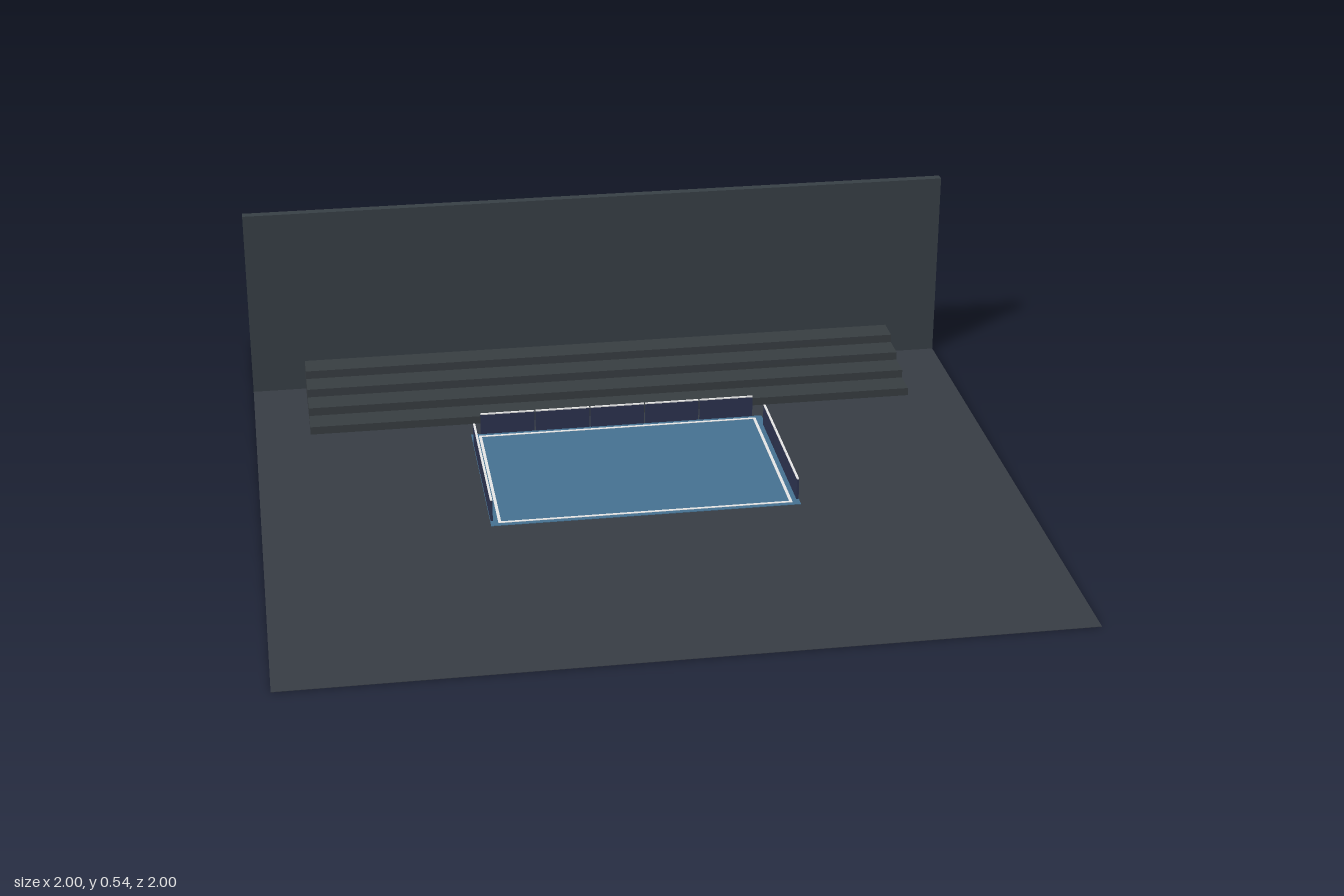
import * as THREE from 'three';

const mat = (name, color) => Object.assign(new THREE.MeshStandardMaterial({ color }), { name });

export function createModel() {
  const model = new THREE.Group();
  model.name = 'arena';
  const floorGrey = mat('floor grey', 0x383d45);
  const wallGrey = mat('wall grey', 0x384046);
  const standGrey = mat('stand grey', 0x383e42);
  const courtBlue = mat('court blue', 0x467292);
  const boardNavy = mat('board navy', 0x2c3350);
  const lineWhite = mat('line white', 0xf0f0f0);

  // Box given by its centre in x and z and its underside in y
  const box = (name, material, w, h, d, x, y, z, parent = model) => {
    const mesh = new THREE.Mesh(new THREE.BoxGeometry(w, h, d), material);
    mesh.name = name;
    mesh.position.set(x, y + h / 2, z);
    parent.add(mesh);
    return mesh;
  };

  // Floor, back wall and court surface
  box('floor', floorGrey, 2, 0.001, 2, 0, 0, 0);
  box('backWall', wallGrey, 2, 0.539, 0.024, 0, 0.001, -0.655);
  box('court', courtBlue, 0.82, 0.0015, 0.54, 0, 0.001, 0);

  // White boundary lines
  const lines = new THREE.Group();
  lines.name = 'courtLines';
  model.add(lines);
  for (const s of [-1, 1]) {
    box('endLine', lineWhite, 0.78, 0.001, 0.008, 0, 0.0025, s * 0.254, lines);
    box('sideLine', lineWhite, 0.008, 0.001, 0.50, s * 0.386, 0.0025, 0, lines);
  }

  // Stepped seating, four full-depth tiers
  const stand = new THREE.Group();
  stand.name = 'seatingStand';
  model.add(stand);
  for (let i = 0; i < 4; i++) {
    const height = 0.0235 * (i + 1);
    box('tier', standGrey, 1.7, height - 0.001, 0.0725, 0, 0.001, -0.376 - i * 0.0725, stand);
  }

  // Boards with a white top strip: five at the back, three on each side
  const boards = new THREE.Group();
  boards.name = 'courtBoards';
  model.add(boards);
  const addBoard = (x, z, turn) => {
    const board = new THREE.Group();
    board.name = 'board';
    box('panel', boardNavy, 0.15, 0.06, 0.006, 0, 0.001, 0, board);
    box('topStrip', lineWhite, 0.15, 0.003, 0.006, 0, 0.061, 0, board);
    board.position.set(x, 0, z);
    board.rotation.y = turn;
    boards.add(board);
  };
  for (let i = -2; i <= 2; i++) addBoard(i * 0.154, -0.272, 0);
  for (const s of [-1, 1]) {
    for (let i = -1; i <= 1; i++) addBoard(s * 0.406, 0.015 + i * 0.153, s * Math.PI / 2);
  }

  return model;
}
